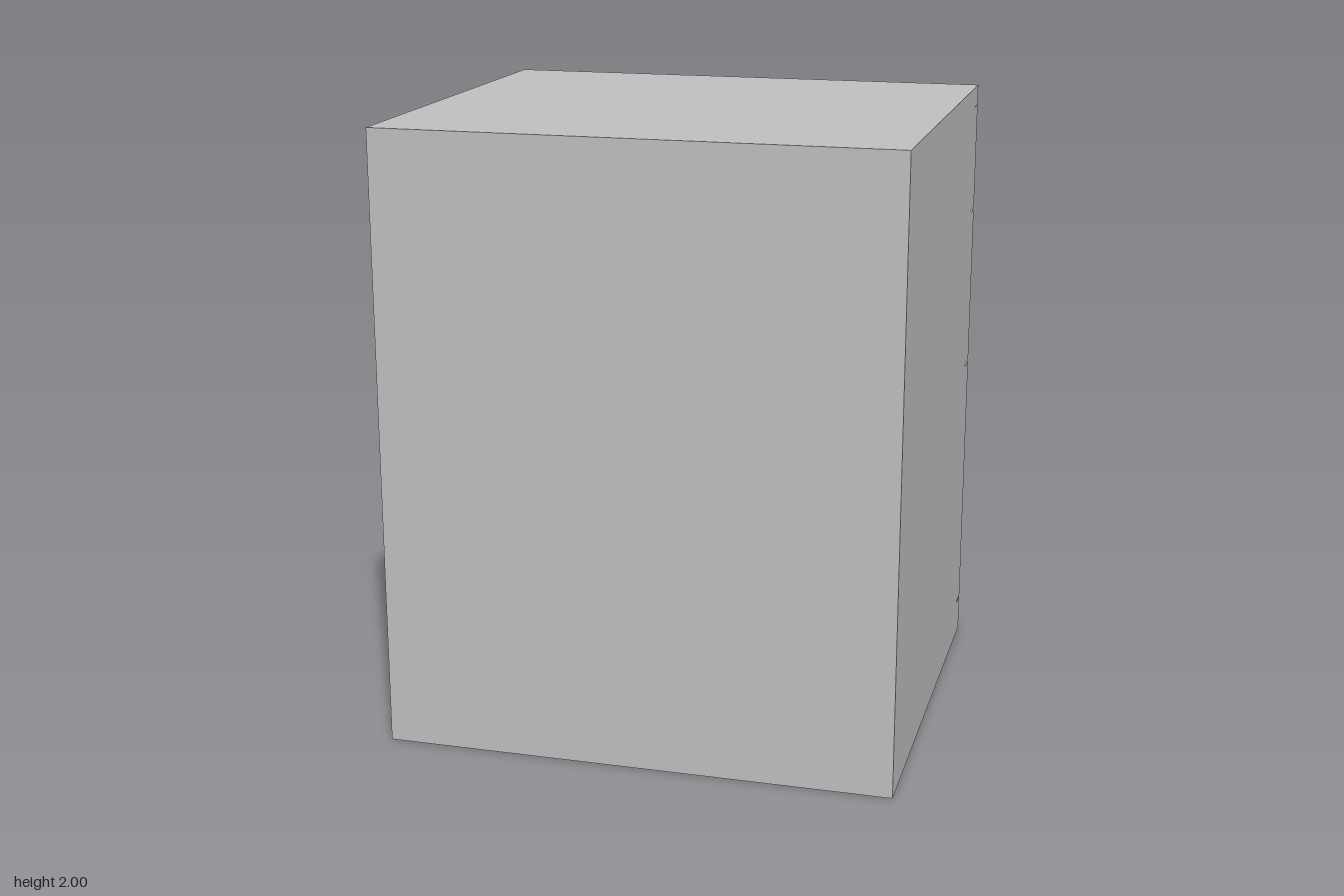
import * as THREE from 'three';

const W = 0.824, D = 0.718, H = 2; // half width, half depth, height
const RECESS = 0.645;              // depth at which the drawer fronts start
const PULL = { half: 0.16, height: 0.065, depth: 0.02 };

// Side profile of the cabinet shell as [z, y], open at the bottom
const PROFILE = [
  [D, 0], [D, H], [-D, H], [-D, 1.934],
  [-RECESS, 1.934], [-RECESS, 0.122], [-D, 0.122], [-D, 0],
];

// Sweep the profile across the width with one flat panel per segment
function shellGeometry() {
  const pos = [];
  for (let i = 0; i < PROFILE.length - 1; i++) {
    const [z0, y0] = PROFILE[i], [z1, y1] = PROFILE[i + 1];
    pos.push(-W, y0, z0, W, y0, z0, W, y1, z1);
    pos.push(-W, y0, z0, W, y1, z1, -W, y1, z1);
  }
  const g = new THREE.BufferGeometry();
  g.setAttribute('position', new THREE.Float32BufferAttribute(pos, 3));
  g.computeVertexNormals();
  return g;
}

// Flat side panel; side is +1 or -1
function sideGeometry(side) {
  const shape = new THREE.Shape(PROFILE.map(([z, y]) => new THREE.Vector2(-side * z, y)));
  return new THREE.ShapeGeometry(shape).rotateY(side * Math.PI / 2).translate(side * W, 0, 0);
}

function rectangle(Type, half, y0, y1) {
  return new Type([
    new THREE.Vector2(-half, y0), new THREE.Vector2(half, y0),
    new THREE.Vector2(half, y1), new THREE.Vector2(-half, y1),
  ]);
}

export function createModel() {
  const model = new THREE.Group();
  model.name = 'drawerCabinet';
  const grey = new THREE.MeshStandardMaterial({ color: 0xc0c0c0 });
  grey.name = 'grey';
  grey.side = THREE.DoubleSide;

  const add = (parent, name, geometry) => {
    const mesh = new THREE.Mesh(geometry, grey);
    mesh.name = name;
    parent.add(mesh);
  };

  // Thin-walled cabinet
  add(model, 'shell', shellGeometry());
  add(model, 'leftSide', sideGeometry(1));
  add(model, 'rightSide', sideGeometry(-1));

  // Drawer fronts: bottom, top and lower edge of the recessed pull
  const drawers = [
    ['topDrawer', 1.577, 1.932, 1.6],
    ['middleDrawer', 1.026, 1.567, 1.402],
    ['bottomDrawer', 0.128, 1.016, 0.89],
  ];
  for (const [name, y0, y1, pullY] of drawers) {
    const drawer = new THREE.Group();
    drawer.name = name;
    model.add(drawer);

    // Outer face with the pull cut through it
    const face = rectangle(THREE.Shape, W, y0, y1);
    face.holes.push(rectangle(THREE.Path, PULL.half, pullY, pullY + PULL.height));
    add(drawer, 'drawerFace', new THREE.ExtrudeGeometry(face, { depth: PULL.depth, bevelEnabled: false })
      .translate(0, 0, -D));

    // Solid panel behind, which closes the pull
    const thick = D - RECESS - PULL.depth;
    add(drawer, 'drawerPanel', new THREE.BoxGeometry(2 * W, y1 - y0, thick)
      .translate(0, (y0 + y1) / 2, -RECESS - thick / 2));
  }
  return model;
}
